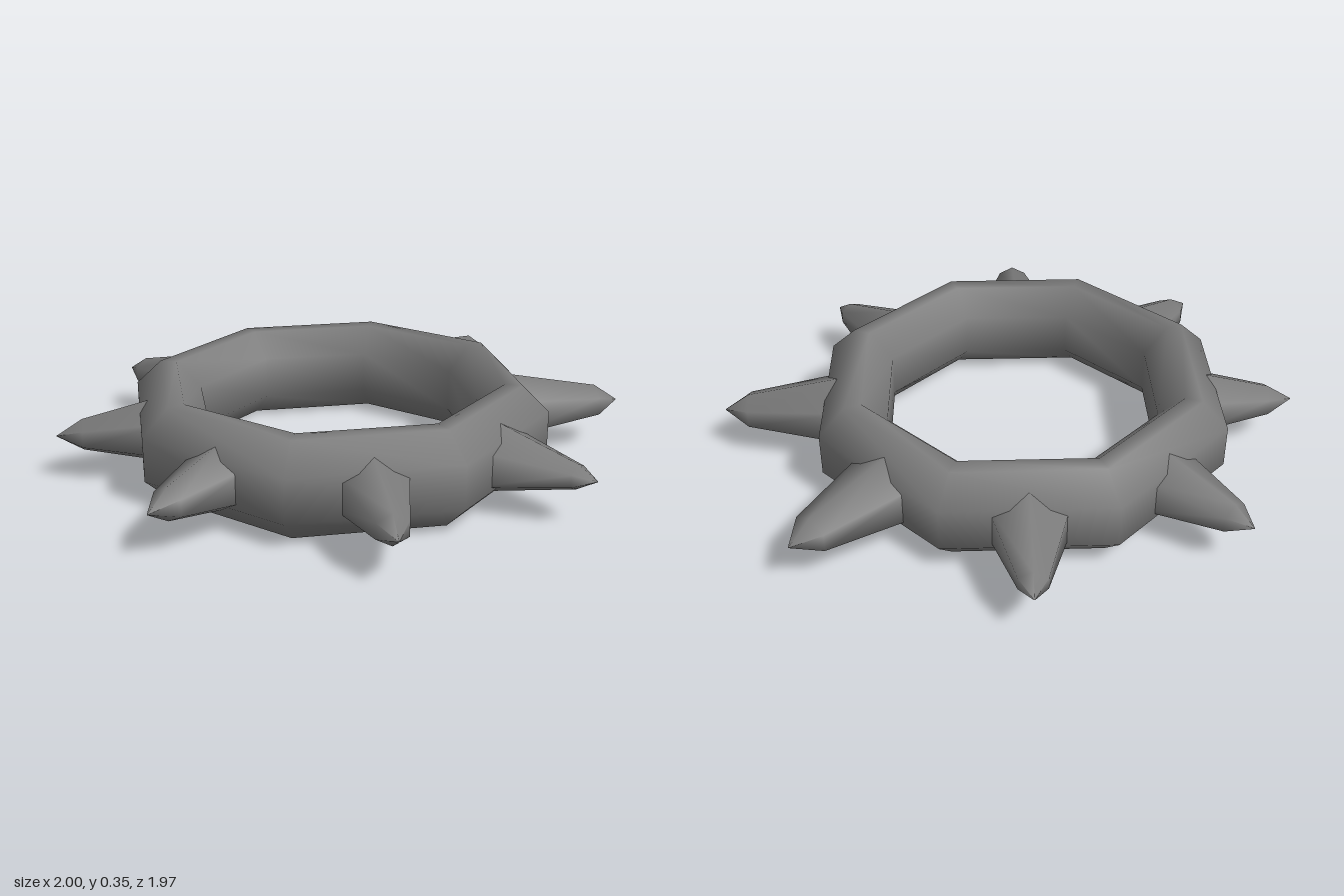
import * as THREE from 'three';
import { mergeVertices } from 'three/addons/utils/BufferGeometryUtils.js';

export function createModel() {
  const model = new THREE.Group();
  model.name = 'spikedBand';
  const material = new THREE.MeshStandardMaterial({ color: 0x7c7c7c });
  const centreX = -0.04;

  // Eight-sided band with an octagonal cross-section, smoothed all over
  const section = [
    [0.795, 0.095], [0.795, 0.255], [0.695, 0.35], [0.63, 0.35], [0.535, 0.255],
    [0.535, 0.095], [0.63, 0], [0.695, 0], [0.795, 0.095],
  ].map(([r, y]) => new THREE.Vector2(r, y));
  const ring = new THREE.LatheGeometry(section, 8);
  ring.deleteAttribute('uv');
  ring.deleteAttribute('normal');
  const ringGeometry = mergeVertices(ring);
  ringGeometry.computeVertexNormals();
  const band = new THREE.Mesh(ringGeometry, material);
  band.name = 'band';
  band.position.x = centreX;
  model.add(band);

  // Six-sided spike: base inside the band, shoulder, then a short blunt point
  function addSpike(name, angle, width, base, shoulder, shoulderAt, tip) {
    const profile = [[base, 0.67], [shoulder, shoulderAt], [0.001, tip]]
      .map(([r, y]) => new THREE.Vector2(r, y));
    const geometry = new THREE.LatheGeometry(profile, 6);
    geometry.rotateX(Math.PI / 2);
    geometry.scale(width, 1, 1);
    const spike = new THREE.Mesh(geometry, material);
    spike.name = name;
    spike.position.set(centreX, 0.17, 0);
    spike.rotation.y = angle;
    model.add(spike);
  }

  // One spike per band face, mirrored front to back
  const step = Math.PI / 8;
  for (const front of [true, false]) {
    const end = front ? 'Front' : 'Back';
    const turn = (a) => (front ? a : Math.PI - a);
    addSpike(`left${end}Spike`, turn(step), 1.25, 0.134, 0.046, 0.99, 1.064);
    addSpike(`leftSide${end}Spike`, turn(3 * step), 1.22, 0.134, 0.066, 1.03, 1.124);
    addSpike(`right${end}Spike`, turn(-step), 1.12, 0.13, 0.056, 0.98, 1.064);
    addSpike(`rightSide${end}Spike`, turn(-3 * step), 1.12, 0.125, 0.06, 0.945, 1.04);
  }
  return model;
}
